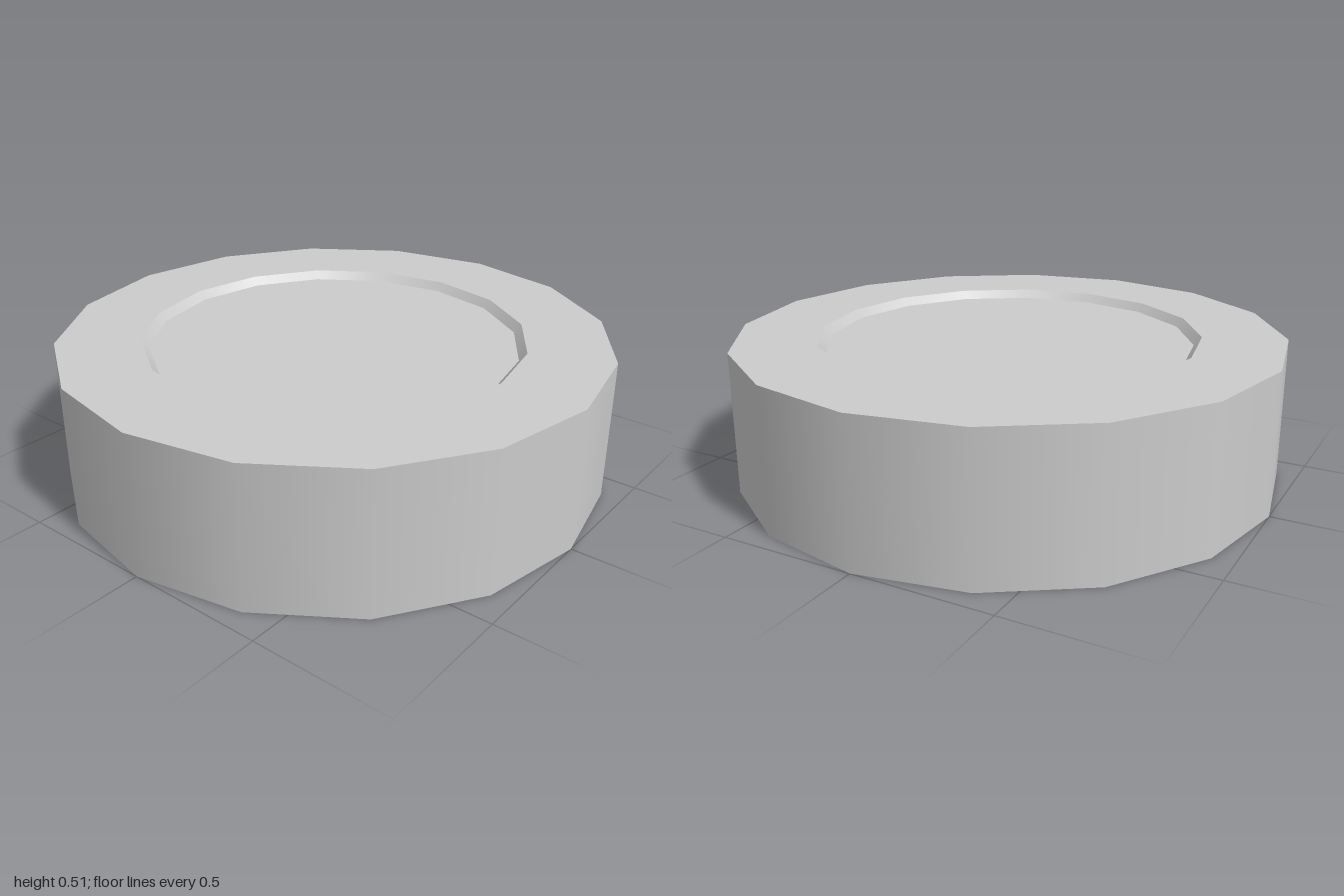
import * as THREE from 'three';

const SIDES = 16;
const HEIGHT = 0.515;
const DEPTH = 0.03; // depth of the shallow recesses
const R_OUT = 1, R_RIM = 0.695, R_FLOOR = 0.668;

export function createModel() {
  const group = new THREE.Group();
  group.name = 'puck';
  const material = new THREE.MeshStandardMaterial({ color: 0xcccccc });

  // One band per profile segment: smooth around, sharp between bands
  const addBand = (name, a, b) => {
    const points = [new THREE.Vector2(...a), new THREE.Vector2(...b)];
    const mesh = new THREE.Mesh(new THREE.LatheGeometry(points, SIDES), material);
    mesh.name = name;
    group.add(mesh);
  };

  // Profile from the bottom centre, round the outside, to the top centre
  const profile = [
    [0, DEPTH], [R_FLOOR, DEPTH], [R_RIM, 0], [R_OUT, 0],
    [R_OUT, HEIGHT], [R_RIM, HEIGHT], [R_FLOOR, HEIGHT - DEPTH], [0, HEIGHT - DEPTH],
  ];
  const names = [
    'bottomRecessFloor', 'bottomRecessBevel', 'bottomRim', 'outerWall',
    'topRim', 'topRecessBevel', 'topRecessFloor',
  ];
  names.forEach((name, i) => addBand(name, profile[i], profile[i + 1]));

  return group;
}
